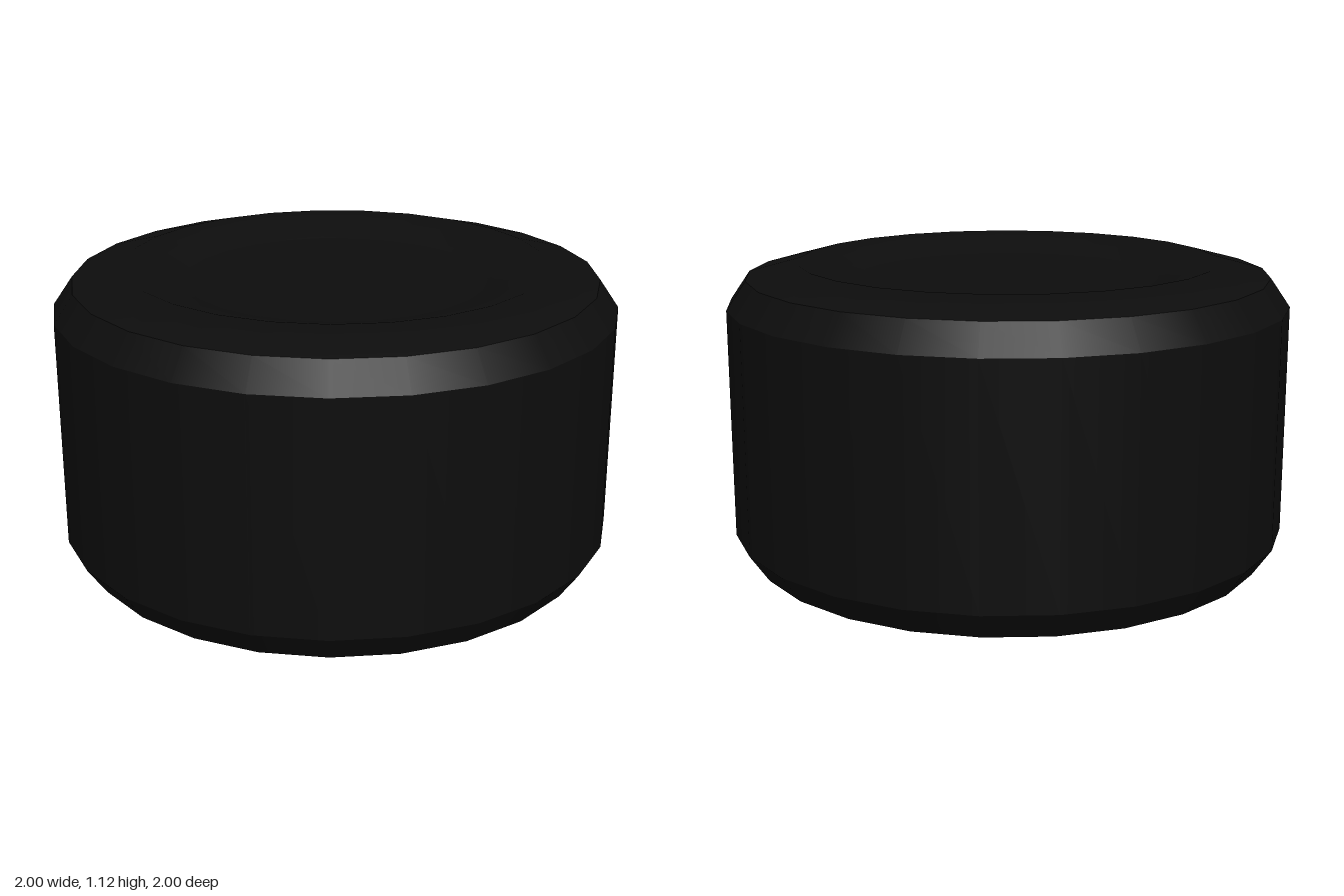
import * as THREE from 'three';

const SIDES = 25;
const HEIGHT = 1.12;

export function createModel() {
  const model = new THREE.Group();
  model.name = 'tyre';
  const rubber = new THREE.MeshStandardMaterial({ color: 0x0d0d0d });

  // Each band is a separate smooth lathe, so edges between bands stay sharp
  const addBand = (name, profile) => {
    const points = profile.map(([r, y]) => new THREE.Vector2(r, y));
    const geometry = new THREE.LatheGeometry(points, SIDES, Math.PI / 2);
    const band = new THREE.Mesh(geometry, rubber);
    band.name = name;
    band.position.x = -0.004; // centres the odd-sided outline
    model.add(band);
  };

  // Half profiles of the lower side, from the axis outwards
  const sides = {
    HubDisc: [[0, 0.06], [0.54, 0.06]],
    Sidewall: [[0.54, 0.06], [0.75, 0], [0.935, 0.05]],
    Shoulder: [[0.935, 0.05], [1.004, 0.15]],
  };
  for (const [part, profile] of Object.entries(sides)) {
    addBand('lower' + part, profile);
    // Mirrored upper side, order reversed to keep faces outward
    addBand('upper' + part, profile.map(([r, y]) => [r, HEIGHT - y]).reverse());
  }

  // Outer running surface
  addBand('tread', [[1.004, 0.15], [1.004, HEIGHT - 0.15]]);

  return model;
}
